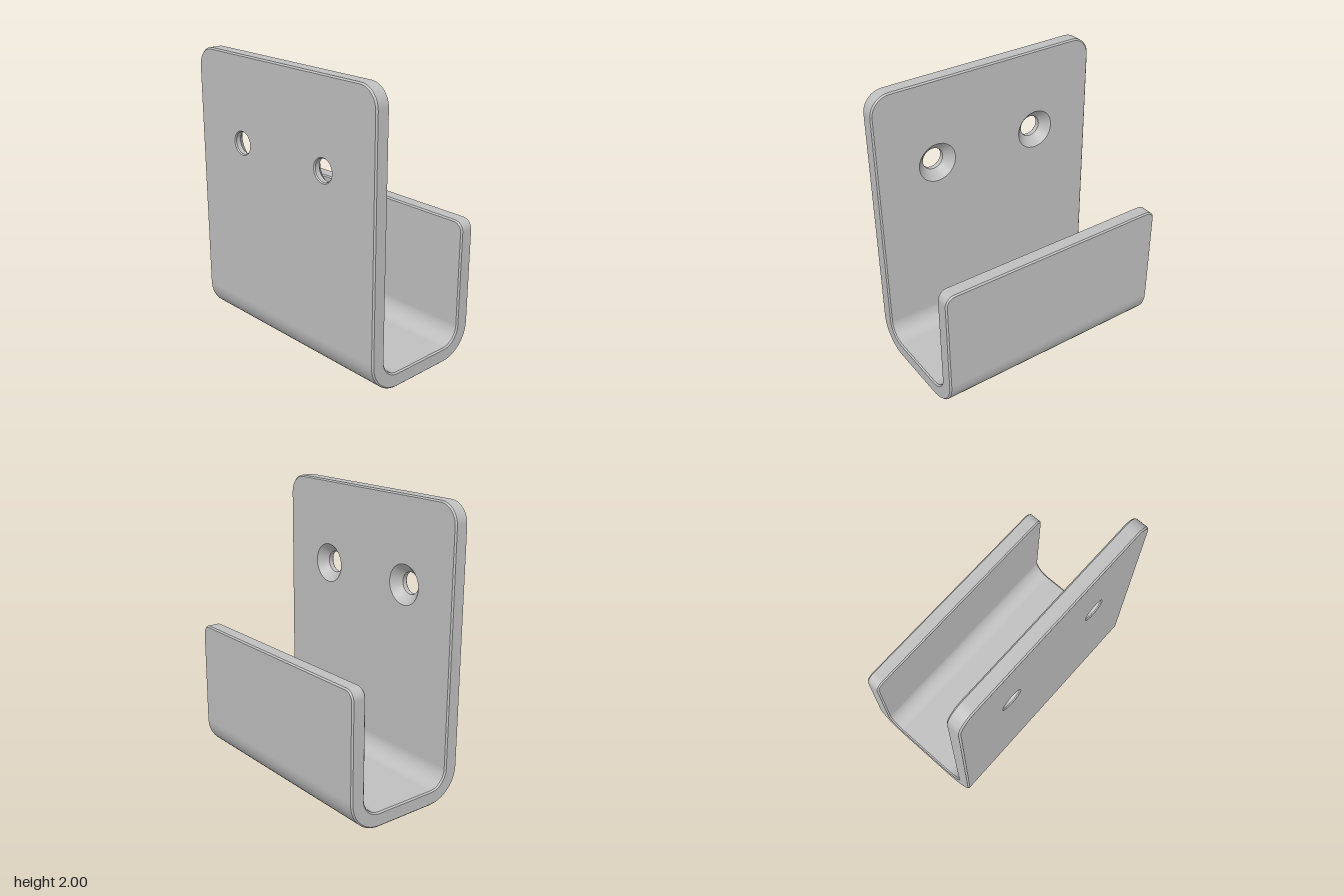
import * as THREE from 'three';
import { mergeGeometries, toCreasedNormals } from 'three/addons/utils/BufferGeometryUtils.js';

// Sheet dimensions
const W = 0.853, D = 0.455, T = 0.105, C = 0.01;   // half width, half depth, thickness, edge chamfer
const TALL = 2, SHORT = 0.975, R = 0.23;           // plate heights, outer bend radius
const R_TALL = 0.14, R_SHORT = 0.07;               // corner radii
const ARC = R * Math.PI / 2, BEND_STEPS = 14;

// Distances along the unrolled sheet, from the tall tip to the short tip
const s1 = TALL - R, s2 = s1 + ARC, s3 = s2 + 2 * (D - R), s4 = s3 + ARC, LEN = s4 + SHORT - R;
const stations = [];
for (let i = 0; i <= BEND_STEPS; i++) stations.push(s1 + ARC * i / BEND_STEPS);
for (let i = 0; i <= BEND_STEPS; i++) stations.push(s3 + ARC * i / BEND_STEPS);

// Folds flat geometry (x, distance along sheet, depth into sheet) into the J shape
function fold(geo) {
  const p = geo.attributes.position, n = geo.attributes.normal;
  for (let i = 0; i < p.count; i++) {
    const s = p.getY(i), t = p.getZ(i);
    let a, y, z;
    if (s <= s1) { a = 0; y = TALL - s; z = D; }
    else if (s >= s4) { a = Math.PI; y = R + s - s4; z = -D; }
    else if (s >= s2 && s <= s3) { a = Math.PI / 2; y = 0; z = D - R - (s - s2); }
    else {
      const first = s < s2;
      a = first ? (s - s1) / R : Math.PI / 2 + (s - s3) / R;
      y = R - R * Math.sin(a);
      z = (first ? D - R : R - D) + R * Math.cos(a);
    }
    const sin = Math.sin(a), cos = Math.cos(a);
    p.setXYZ(i, p.getX(i), y + t * sin, z - t * cos);
    const ns = n.getY(i), nt = n.getZ(i);
    n.setXYZ(i, n.getX(i), -ns * cos + nt * sin, -ns * sin - nt * cos);
  }
  return geo;
}

// Counter-clockwise outline of the unrolled sheet, inset by d
function outline(d) {
  const pts = [];
  const corner = (x, s, r, start) => {
    for (let i = 0; i <= 10; i++) {
      const a = start + i * Math.PI / 20;
      pts.push(new THREE.Vector2(x + (r - d) * Math.cos(a), s + (r - d) * Math.sin(a)));
    }
  };
  corner(-W + R_TALL, R_TALL, R_TALL, Math.PI);
  corner(W - R_TALL, R_TALL, R_TALL, Math.PI * 1.5);
  stations.forEach(s => pts.push(new THREE.Vector2(W - d, s)));
  corner(W - R_SHORT, LEN - R_SHORT, R_SHORT, 0);
  corner(-W + R_SHORT, LEN - R_SHORT, R_SHORT, Math.PI / 2);
  [...stations].reverse().forEach(s => pts.push(new THREE.Vector2(-W + d, s)));
  return pts;
}

function plain(geo) {
  const g = geo.index ? geo.toNonIndexed() : geo;
  g.deleteAttribute('uv');
  return g;
}

// Chamfered rim around the whole outline
function rim() {
  const rings = [[C, 0], [0, C], [0, T - C], [C, T]].map(([d, t]) =>
    outline(d).map(p => [p.x, p.y, t]));
  const pos = [], count = rings[0].length;
  for (let j = 0; j < 3; j++) {
    for (let i = 0; i < count; i++) {
      const k = (i + 1) % count;
      const a = rings[j][i], b = rings[j][k], c = rings[j + 1][k], d = rings[j + 1][i];
      pos.push(...a, ...b, ...c, ...a, ...c, ...d);
    }
  }
  const g = new THREE.BufferGeometry();
  g.setAttribute('position', new THREE.Float32BufferAttribute(pos, 3));
  return toCreasedNormals(g, 0.5);
}

// One broad face: tall plate with holes, bend strips, short plate
function face(inner, holeRadius) {
  const edge = outline(C), e = 1e-6;
  const tall = new THREE.Shape(edge.filter(p => p.y <= s1 + e));
  for (const x of [-0.4, 0.4]) {
    const hole = new THREE.Path();
    hole.absarc(x, TALL - 1.4, holeRadius, 0, Math.PI * 2, true);
    tall.holes.push(hole);
  }
  const shapes = [tall, new THREE.Shape(edge.filter(p => p.y >= s4 - e))];
  for (let i = 0; i < stations.length - 1; i++) {
    const a = stations[i], b = stations[i + 1], w = W - C;
    shapes.push(new THREE.Shape([[-w, a], [w, a], [w, b], [-w, b]].map(q => new THREE.Vector2(...q))));
  }
  return mergeGeometries(shapes.map(s => {
    const g = new THREE.ShapeGeometry(s, 16);
    if (inner) g.translate(0, 0, T); else g.rotateY(Math.PI);
    return plain(g);
  }));
}

// Countersunk hole wall, wide on the inner face
function holeWall(x) {
  const profile = [[0.14, T], [0.077, 0.042], [0.077, 0.008], [0.084, 0]];
  const g = new THREE.LatheGeometry(profile.map(q => new THREE.Vector2(...q)), 32);
  g.rotateX(Math.PI / 2).translate(x, TALL - 1.4, 0);
  return toCreasedNormals(plain(g), 0.5);
}

export function createModel() {
  const group = new THREE.Group();
  group.name = 'wallHook';
  const metal = new THREE.MeshStandardMaterial({ color: 0xbfbfbf });
  metal.name = 'grey metal';
  const add = (name, geo) => {
    const mesh = new THREE.Mesh(fold(geo), metal);
    mesh.name = name;
    group.add(mesh);
  };
  add('outerFace', face(false, 0.084));
  add('innerFace', face(true, 0.14));
  add('chamferedRim', rim());
  add('rightScrewHole', holeWall(-0.4));
  add('leftScrewHole', holeWall(0.4));
  return group;
}
